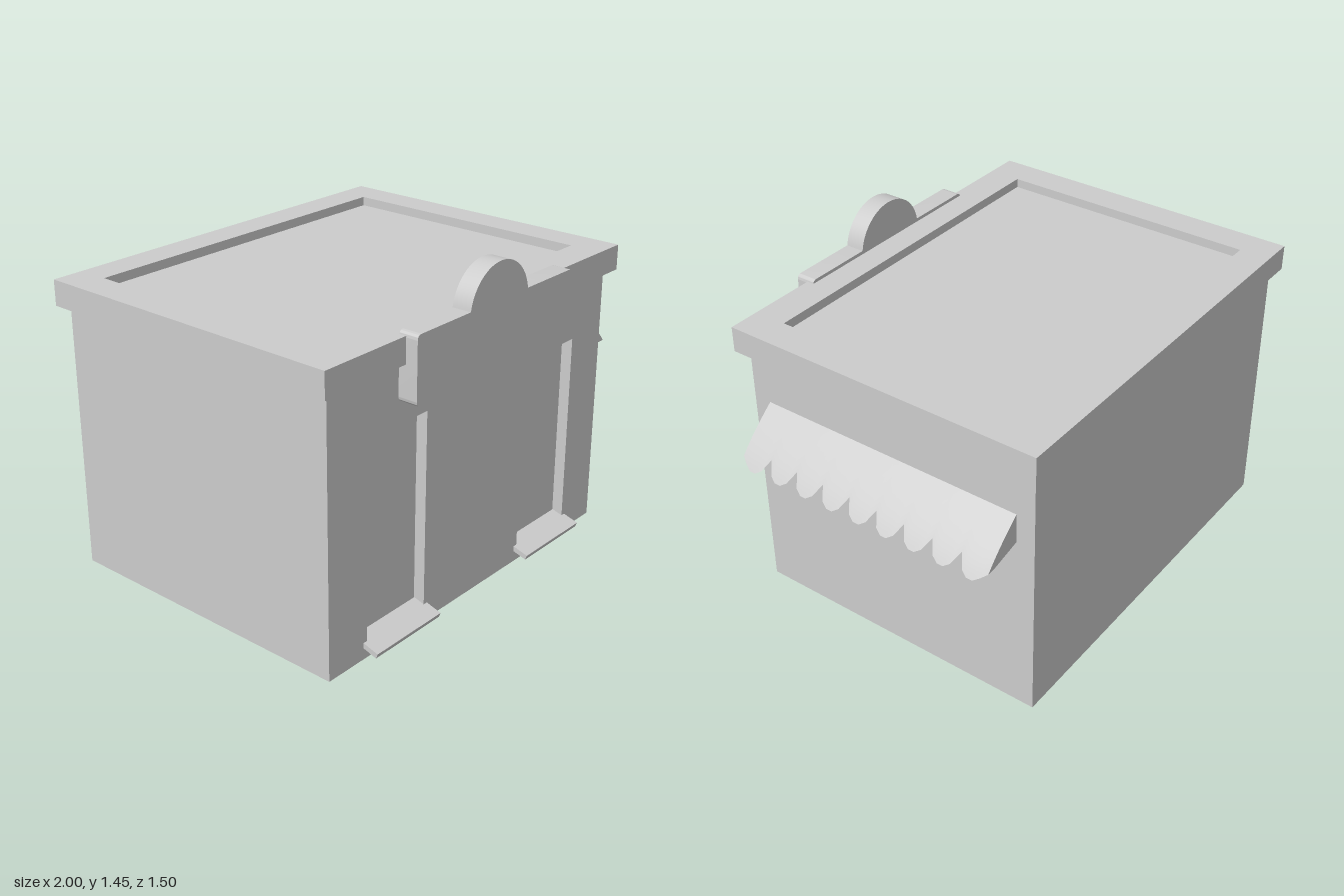
import * as THREE from 'three';
import { toCreasedNormals } from 'three/addons/utils/BufferGeometryUtils.js';

const material = new THREE.MeshStandardMaterial({ color: 0xcccccc });
const thin = new THREE.MeshStandardMaterial({ color: 0xcccccc, side: THREE.DoubleSide });

function add(parent, name, geometry, mat = material) {
  const mesh = new THREE.Mesh(geometry, mat);
  mesh.name = name;
  parent.add(mesh);
  return mesh;
}

// Box given by its limits on each axis
function block(x0, x1, y0, y1, z0, z1) {
  return new THREE.BoxGeometry(x1 - x0, y1 - y0, z1 - z0)
    .translate((x0 + x1) / 2, (y0 + y1) / 2, (z0 + z1) / 2);
}

function rect(Type, x0, x1, y0, y1) {
  return new Type().moveTo(x0, y0).lineTo(x1, y0).lineTo(x1, y1).lineTo(x0, y1).closePath();
}

const extrude = (shape, depth, curveSegments = 12) =>
  new THREE.ExtrudeGeometry(shape, { depth, bevelEnabled: false, curveSegments });

// Sign outline: rounded board with a round crest
function signShape() {
  const x0 = -0.57, x1 = 0.415, y0 = 1.01, y1 = 1.29, r = 0.022;
  const cx = -0.077, cy = 1.26, R = 0.185, a = Math.asin((y1 - cy) / R);
  const s = new THREE.Shape();
  s.moveTo(x0 + r, y0);
  s.lineTo(x1 - r, y0);
  s.quadraticCurveTo(x1, y0, x1, y0 + r);
  s.lineTo(x1, y1 - r);
  s.quadraticCurveTo(x1, y1, x1 - r, y1);
  s.absarc(cx, cy, R, a, Math.PI - a, false);
  s.lineTo(x0 + r, y1);
  s.quadraticCurveTo(x0, y1, x0, y1 - r);
  s.lineTo(x0, y0 + r);
  s.quadraticCurveTo(x0, y0, x0 + r, y0);
  return s;
}

// Awning: a curved profile swept along z, cut to scallops at its lower edge
const zFront = 0.58, zBack = -0.63, scallops = 9;
const profile = new THREE.QuadraticBezierCurve(
  new THREE.Vector2(0.8, 0.94), new THREE.Vector2(0.94, 0.83), new THREE.Vector2(1, 0.74));

function awningCloth() {
  const drop = [0.67, 0.91, 1, 1, 0.91], steps = 8;
  const columns = scallops * drop.length;
  const positions = [], index = [];
  for (let i = 0; i <= columns; i++) {
    const end = i === 0 || i === columns;
    const reach = end ? 0.8 : drop[i % drop.length];
    const z = zFront + (zBack - zFront) * i / columns;
    for (let j = 0; j <= steps; j++) {
      const p = profile.getPoint(reach * j / steps);
      positions.push(p.x, p.y, z);
      if (i < columns && j < steps) {
        const a = i * (steps + 1) + j, b = a + steps + 1;
        index.push(a, a + 1, b, b, a + 1, b + 1);
      }
    }
  }
  const g = new THREE.BufferGeometry();
  g.setAttribute('position', new THREE.Float32BufferAttribute(positions, 3));
  g.setIndex(index);
  g.computeVertexNormals();
  return g;
}

function awningEnd() {
  const s = new THREE.Shape().moveTo(0.8, 0.81).lineTo(0.93, 0.78);
  for (let j = 8; j >= 0; j--) {
    const p = profile.getPoint(0.8 * j / 8);
    s.lineTo(p.x, p.y);
  }
  s.closePath();
  return new THREE.ShapeGeometry(s);
}

export function createModel() {
  const model = new THREE.Group();
  model.name = 'shop';

  // Walls, the front one with two door recesses
  const doors = [[-0.74, -0.395], [0.24, 0.588]];
  add(model, 'walls', block(-0.955, 0.8, 0, 1.17, -0.712, 0.61));
  const front = rect(THREE.Shape, -0.955, 0.8, 0, 1.17);
  for (const [x0, x1] of doors) front.holes.push(rect(THREE.Path, x0, x1, 0.06, 0.915));
  add(model, 'frontWall', extrude(front, 0.05).translate(0, 0, 0.61));

  // Sloping door sills
  const sill = new THREE.Shape().moveTo(0.612, 0.064).lineTo(0.722, 0.031)
    .lineTo(0.73, 0.052).lineTo(0.612, 0.087).closePath();
  for (const [x0, x1] of doors) {
    const width = x1 - x0 + 0.04;
    add(model, 'doorSill', extrude(sill, width).rotateY(-Math.PI / 2).scale(1, 1, 1)
      .translate(x1 + 0.02, 0, 0));
  }

  // Roof slab with a raised rim
  add(model, 'roof', block(-1, 0.85, 1.165, 1.235, -0.747, 0.695));
  const rim = rect(THREE.Shape, -1, 0.85, -0.695, 0.747);
  rim.holes.push(rect(THREE.Path, -0.86, 0.71, -0.55, 0.61));
  add(model, 'roofRim', extrude(rim, 0.04).rotateX(-Math.PI / 2).translate(0, 1.235, 0));

  // Sign board on the front
  add(model, 'signBoard', toCreasedNormals(extrude(signShape(), 0.085, 20), 0.6).translate(0, 0, 0.663));

  // Awning on the left wall
  const awning = new THREE.Group();
  awning.name = 'awning';
  add(awning, 'awningCloth', awningCloth(), thin);
  for (const z of [zFront, zBack]) add(awning, 'awningEnd', awningEnd().translate(0, 0, z), thin);
  model.add(awning);

  return model;
}
